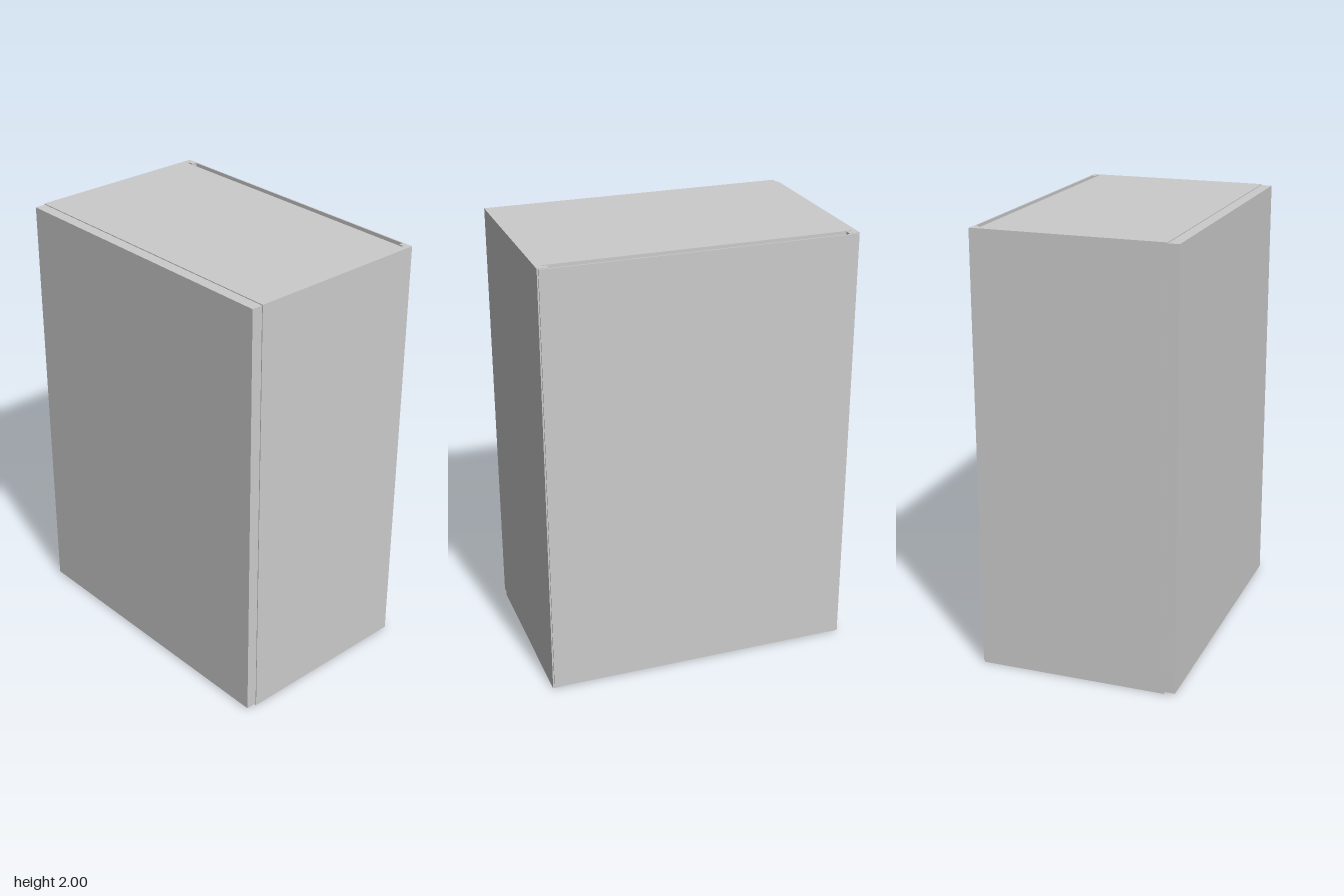
import * as THREE from 'three';

const material = new THREE.MeshStandardMaterial({ color: 0xcccccc, flatShading: true });

// Board given by its min and max corners
function board(name, [x0, y0, z0], [x1, y1, z1]) {
  const mesh = new THREE.Mesh(new THREE.BoxGeometry(x1 - x0, y1 - y0, z1 - z0), material);
  mesh.position.set((x0 + x1) / 2, (y0 + y1) / 2, (z0 + z1) / 2);
  mesh.name = name;
  return mesh;
}

export function createModel() {
  const cabinet = new THREE.Group();
  cabinet.name = 'cabinet';

  const W = 0.712, H = 2, T = 0.049;      // half width, height, board thickness
  const inner = W - T;
  const front = 0.408, back = -0.452;     // carcass depth range
  const grooveFront = -0.41, grooveBack = -0.426, grooveX = W - 0.025;

  // Side panels: plan outline with a groove for the inner back, extruded upward
  for (const s of [1, -1]) {
    const plan = new THREE.Shape([
      [W, front], [inner, front], [inner, grooveFront], [grooveX, grooveFront],
      [grooveX, grooveBack], [inner, grooveBack], [inner, back], [W, back],
    ].map(([x, z]) => new THREE.Vector2(s * x, -z)));
    const geometry = new THREE.ExtrudeGeometry(plan, { depth: H, bevelEnabled: false });
    geometry.rotateX(-Math.PI / 2);
    const side = new THREE.Mesh(geometry, material);
    side.name = s > 0 ? 'leftSide' : 'rightSide';
    cabinet.add(side);
  }

  // Top and bottom boards between the sides
  cabinet.add(board('bottomPanel', [-inner, 0, grooveFront], [inner, T, front]));
  cabinet.add(board('topPanel', [-inner, H - T, grooveFront], [inner, H, front]));

  // Thin inner back held in the grooves, and the outer back sheet
  cabinet.add(board('innerBack', [-grooveX, 0, -0.416], [grooveX, H, grooveFront]));
  cabinet.add(board('backSheet', [-0.706, 0.006, -0.458], [0.706, 1.997, back]));

  // Door, slightly smaller than the carcass
  cabinet.add(board('door', [-0.708, 0.008, front], [0.708, 1.996, 0.458]));

  return cabinet;
}
